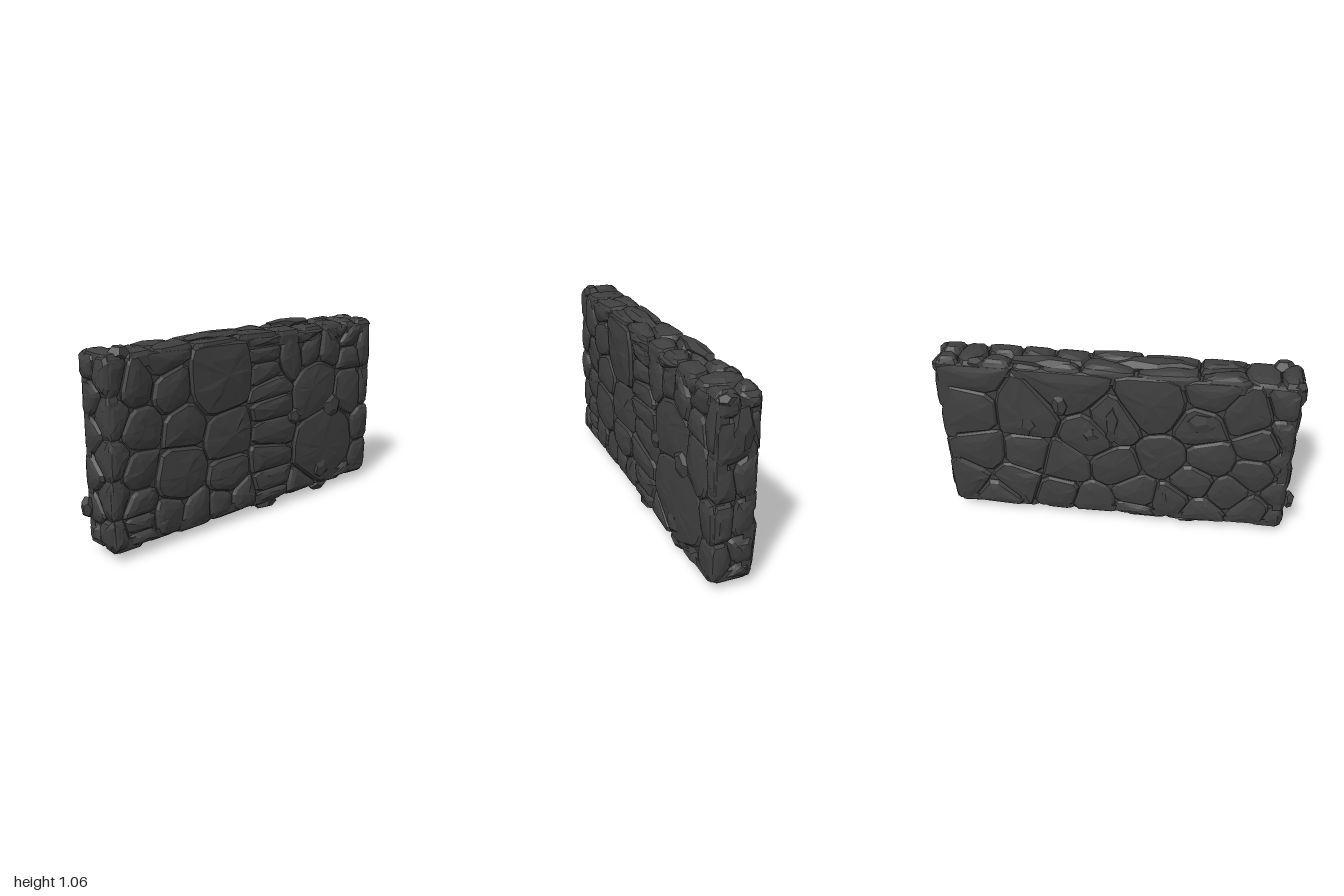
import * as THREE from 'three';

const stoneMat = new THREE.MeshStandardMaterial({ color: 0x3f3f3f, flatShading: true });

// Small seeded random, range -1..1
let state = 7;
const rnd = () => {
  state = (state * 16807) % 2147483647;
  return (state / 2147483647) * 2 - 1;
};

// Stone centres per wall face: [u, v, optional size]
const FRONT = [
  [-0.92, 0.9], [-0.92, 0.72], [-0.92, 0.5], [-0.92, 0.32], [-0.92, 0.11],
  [-0.78, 0.86], [-0.57, 0.81], [-0.25, 0.83, 0.16], [-0.62, 0.98],
  [-0.76, 0.64], [-0.5, 0.6], [-0.78, 0.43], [-0.53, 0.36, 0.1], [-0.2, 0.5, 0.07],
  [-0.2, 0.28, 0.04], [-0.78, 0.25], [-0.78, 0.16], [-0.78, 0.08], [-0.6, 0.16], [-0.42, 0.12],
  [-0.25, 0.11], [-0.1, 0.11], [0.1, 0.17], [0.1, 0.07], [0.1, 0.31], [0.13, 0.46],
  [0.13, 0.6], [0.12, 0.71], [0.1, 0.81], [0.1, 0.91], [0.27, 0.88], [0.44, 0.9],
  [0.6, 0.88], [0.78, 0.92], [0.78, 0.82], [0.93, 0.86], [0.1, 0.99], [0.4, 1.0], [0.7, 1.0],
  [0.5, 0.64, 0.14], [0.77, 0.6, 0.1], [0.58, 0.3, 0.22],
  [0.4, 0.06], [0.7, 0.05], [0.94, 0.6], [0.93, 0.37], [0.93, 0.14],
];
const BACK = [
  [-0.83, 0.72, 0.1], [-0.8, 0.92], [-0.5, 0.72, 0.08], [-0.26, 0.92, 0.1], [-0.14, 0.6],
  [-0.02, 0.7], [0.2, 0.84, 0.1], [0.45, 0.72], [0.68, 0.81], [0.5, 0.93], [-0.77, 0.44],
  [-0.89, 0.22], [-0.57, 0.24], [-0.51, 0.43], [-0.3, 0.38], [-0.34, 0.17], [-0.7, 0.09],
  [-0.14, 0.11], [0, 0.4], [0.12, 0.21], [0.1, 0.05], [0.31, 0.18], [0.26, 0.48],
  [0.51, 0.5], [0.43, 0.34], [0.63, 0.27], [0.48, 0.1], [0.77, 0.15], [0.77, 0.42],
  [0.78, 0.62], [0.93, 0.9], [0.93, 0.7], [0.93, 0.5], [0.93, 0.3], [0.93, 0.1],
].map(([x, y, w]) => [-x, y, w]).map(([x, y, w]) => [-x, y, w]);
const RIGHT = [
  [-0.05, 0.97], [-0.04, 0.79, 0.08], [-0.05, 0.58], [-0.05, 0.38], [-0.05, 0.16],
  [0.06, 1.0], [0.07, 0.86], [0.05, 0.6], [0.05, 0.38], [0.05, 0.19], [0.05, 0.08],
];
const LEFT = [
  [-0.05, 0.97], [-0.05, 0.8], [-0.05, 0.62], [-0.05, 0.42], [-0.05, 0.24], [-0.05, 0.09],
  [0.06, 0.94], [0.05, 0.73], [0.05, 0.52], [0.05, 0.31], [0.05, 0.12],
];
const TOP = [
  [-0.92, 0], [-0.76, 0], [-0.58, 0.06], [-0.55, -0.06], [-0.28, 0.04], [-0.3, -0.08],
  [0.05, -0.08], [0.08, 0.04], [0.26, -0.05], [0.3, 0.08], [0.43, -0.05], [0.48, 0.06],
  [0.62, -0.05], [0.63, 0.06], [0.78, 0], [0.93, -0.05], [0.93, 0.06],
];
const BOTTOM = [
  [-0.9, -0.04], [-0.88, 0.07], [-0.66, 0], [-0.45, 0.06], [-0.42, -0.06], [-0.2, 0.05],
  [-0.16, -0.06], [0.1, -0.05], [0.12, 0.06], [0.36, 0.03], [0.58, -0.05], [0.62, 0.06],
  [0.85, 0],
];

// Convex cell around one centre, cut by its neighbours
function cell(seeds, i, [u0, v0, u1, v1]) {
  let poly = [[u0, v0], [u1, v0], [u1, v1], [u0, v1]];
  const [ax, ay, aw = 0] = seeds[i];
  seeds.forEach(([bx, by, bw = 0], j) => {
    if (j === i) return;
    const side = ([x, y]) =>
      (x - ax) ** 2 + (y - ay) ** 2 - aw * aw - ((x - bx) ** 2 + (y - by) ** 2 - bw * bw);
    const out = [];
    poly.forEach((p, k) => {
      const q = poly[(k + 1) % poly.length], sp = side(p), sq = side(q);
      if (sp <= 0) out.push(p);
      if (sp * sq < 0) {
        const t = sp / (sp - sq);
        out.push([p[0] + (q[0] - p[0]) * t, p[1] + (q[1] - p[1]) * t]);
      }
    });
    poly = out;
  });
  return poly;
}

// Faceted stone: rings from the buried base up to a domed face
function stone(poly, frame, depth) {
  const outline = [];
  poly.forEach((p, k) => {
    const q = poly[(k + 1) % poly.length];
    if (Math.hypot(q[0] - p[0], q[1] - p[1]) < 0.03) {
      outline.push([(p[0] + q[0]) / 2, (p[1] + q[1]) / 2]);
      return;
    }
    for (const t of [0.16, 0.84]) outline.push([p[0] + (q[0] - p[0]) * t, p[1] + (q[1] - p[1]) * t]);
  });
  const n = outline.length;
  const c = [0, 1].map(a => outline.reduce((s, p) => s + p[a], 0) / n);
  const lift = depth + rnd() * 0.007;
  const tilt = [rnd() * 0.05, rnd() * 0.05];
  const point = (u, v, h) => frame.o.clone()
    .addScaledVector(frame.u, u).addScaledVector(frame.v, v).addScaledVector(frame.n, h);
  // Each ring: inset distance, inset share, height, noise
  const rings = [[0, 0, -0.04, 0], [0.002, 0, lift * 0.3, 0], [0.016, 0, lift * 0.8, 0.001], [0, 0.5, lift + 0.004, 0.003]];
  const pts = [];
  for (const [inset, share, h, noise] of rings) {
    for (const p of outline) {
      const d = [c[0] - p[0], c[1] - p[1]];
      const t = share || Math.min(0.4, inset / (Math.hypot(...d) + 1e-6));
      const slope = h > 0 ? (d[0] * tilt[0] + d[1] * tilt[1]) * (1 - t) : 0;
      pts.push(point(p[0] + d[0] * t, p[1] + d[1] * t, h + slope + rnd() * noise));
    }
  }
  pts.push(point(c[0], c[1], lift + 0.008 + rnd() * 0.003));
  const index = [];
  for (let r = 0; r < rings.length; r++) {
    for (let k = 0; k < n; k++) {
      const a = r * n + k, b = r * n + ((k + 1) % n);
      if (r === rings.length - 1) index.push(a, b, pts.length - 1);
      else index.push(a, b, b + n, a, b + n, a + n);
    }
  }
  const geo = new THREE.BufferGeometry().setFromPoints(pts);
  geo.setIndex(index);
  geo.computeVertexNormals();
  return new THREE.Mesh(geo, stoneMat);
}

// One face of the wall, filled with stones
function face(name, seeds, rect, o, u, v, depth) {
  const frame = { o: new THREE.Vector3(...o), u: new THREE.Vector3(...u), v: new THREE.Vector3(...v) };
  frame.n = frame.u.clone().cross(frame.v);
  const group = new THREE.Group();
  group.name = name + 'Stones';
  seeds.forEach((s, i) => {
    const poly = cell(seeds, i, rect);
    if (poly.length < 3) return;
    const mesh = stone(poly, frame, depth);
    mesh.name = name + 'Stone';
    group.add(mesh);
  });
  return group;
}

export function createModel() {
  state = 7;
  const wall = new THREE.Group();
  wall.name = 'stoneWall';

  // Mortar core behind the stones
  const core = new THREE.Mesh(new THREE.BoxGeometry(1.87, 0.91, 0.185), stoneMat);
  core.position.set(0.008, 0.53, 0);
  core.name = 'core';
  wall.add(core);

  // Six faces of stones
  const big = [-0.945, 0.055, 0.965, 1.005], end = [-0.112, 0.06, 0.112, 1.015];
  const cap = [-0.945, -0.11, 0.96, 0.11], back = [-0.965, 0.055, 0.945, 1.005];
  wall.add(
    face('front', FRONT, big, [0, 0, 0.09], [1, 0, 0], [0, 1, 0], 0.026),
    face('back', BACK, back, [0, 0, -0.09], [-1, 0, 0], [0, 1, 0], 0.026),
    face('rightEnd', RIGHT, end, [0.94, 0, 0], [0, 0, -1], [0, 1, 0], 0.032),
    face('leftEnd', LEFT, end, [-0.925, 0, 0], [0, 0, 1], [0, 1, 0], 0.028),
    face('top', TOP, cap, [0, 0.985, 0], [1, 0, 0], [0, 0, -1], 0.042),
    face('bottom', BOTTOM, cap, [0, 0.07, 0], [1, 0, 0], [0, 0, 1], 0.024),
  );

  // Loose chunks standing out of the faces, edges and corners: position, size
  const chunks = [
    [0.62, 0.53, 0.112, 0.075, 0.07, 0.024], [0.3, 0.52, 0.108, 0.055, 0.05, 0.024],
    [0.53, 0.15, 0.11, 0.07, 0.06, 0.024], [0.49, 0.65, -0.112, 0.06, 0.065, 0.024],
    [0.3, 0.8, -0.112, 0.045, 0.075, 0.024], [0.14, 0.62, -0.11, 0.06, 0.05, 0.024],
    [-0.45, 0.75, -0.112, 0.085, 0.065, 0.025], [0.02, 0.7, -0.11, 0.05, 0.13, 0.024],
    [-0.965, 0.25, -0.075, 0.036, 0.06, 0.035], [-0.85, 1.015, 0.07, 0.06, 0.045, 0.045],
    [-0.92, 0.99, -0.08, 0.045, 0.04, 0.035], [0.4, 1.03, -0.06, 0.19, 0.03, 0.045],
    [0.95, 0.99, 0.06, 0.035, 0.035, 0.05], [0.73, 1.01, -0.08, 0.07, 0.03, 0.04],
    [0.1, 0.035, 0.07, 0.09, 0.036, 0.045], [0.54, 0.04, 0.08, 0.08, 0.036, 0.035],
    [-0.4, 0.05, -0.07, 0.08, 0.03, 0.045], [-0.9, 0.075, 0.06, 0.05, 0.03, 0.055],
    [0.94, 0.085, -0.07, 0.035, 0.04, 0.045], [-0.2, 1.025, 0, 0.22, 0.03, 0.06],
    [0.965, 0.85, -0.02, 0.032, 0.13, 0.06],
  ];
  for (const [x, y, z, sx, sy, sz] of chunks) {
    const geo = new THREE.DodecahedronGeometry(1, 0);
    geo.rotateX(rnd() * 3).rotateY(rnd() * 3).scale(sx, sy, sz);
    const chunk = new THREE.Mesh(geo, stoneMat);
    chunk.position.set(x, y, z);
    chunk.name = 'looseChunk';
    wall.add(chunk);
  }

  // Stand the wall on the ground
  wall.position.y = -new THREE.Box3().setFromObject(wall, true).min.y;
  return wall;
}
